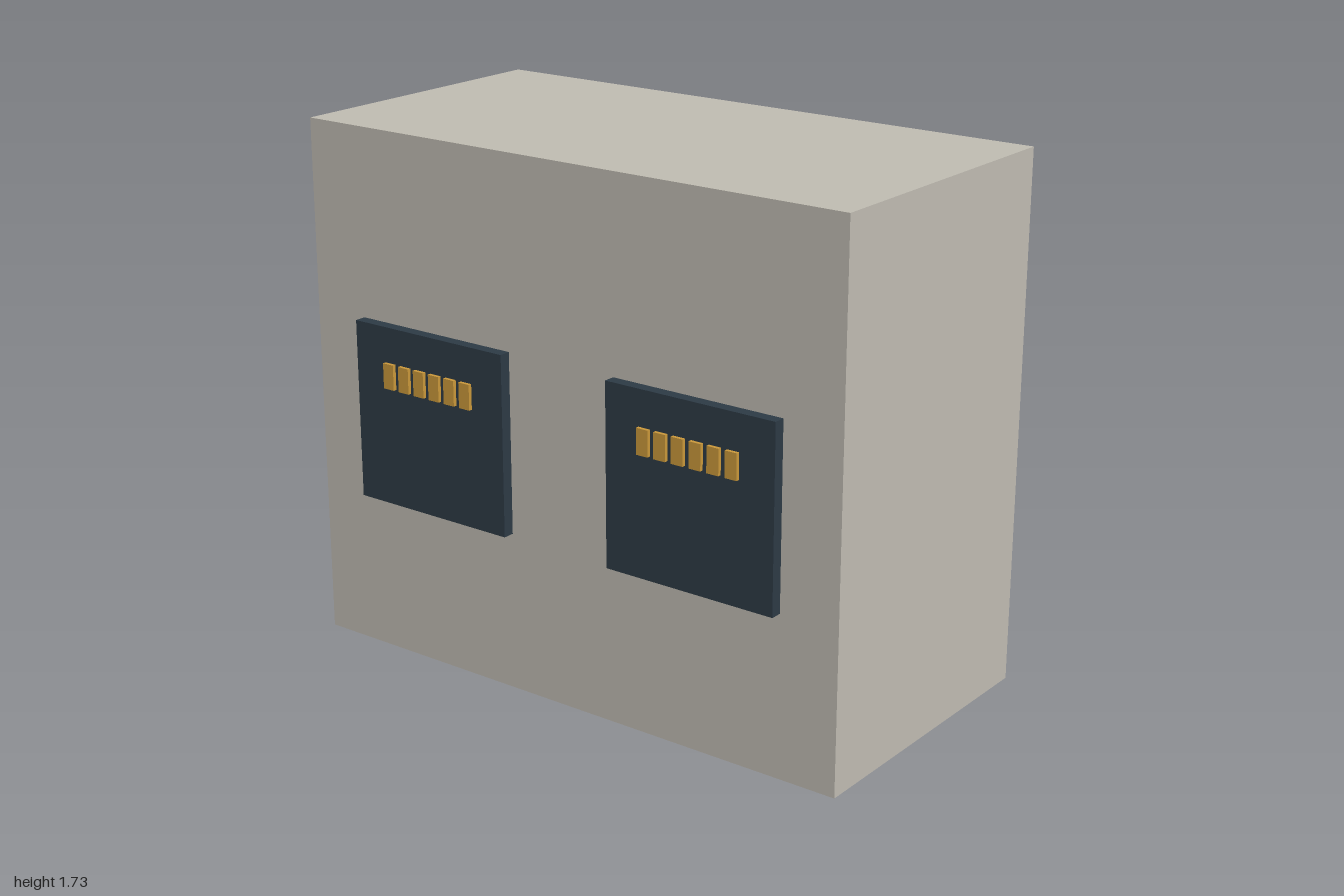
import * as THREE from 'three';

const material = (name, color) => {
  const m = new THREE.MeshStandardMaterial({ color });
  m.name = name;
  return m;
};

// Box given by its centre x, its bottom and its back face
function block(name, [w, h, d], [x, bottom, back], mat) {
  const mesh = new THREE.Mesh(new THREE.BoxGeometry(w, h, d), mat);
  mesh.name = name;
  mesh.position.set(x, bottom + h / 2, back + d / 2);
  return mesh;
}

export function createModel() {
  const stone = material('warm grey', 0xbfbbb1);
  const slate = material('dark slate', 0x2d3a45);
  const brass = material('brass', 0xc9973a);

  const model = new THREE.Group();
  model.name = 'cabinet';

  // Main housing
  model.add(block('housing', [2, 1.73, 1], [0, 0, -0.525], stone));

  // Two raised panels, each with a row of six contacts
  for (const [side, x] of [['left', 0.5], ['right', -0.5]]) {
    const panel = new THREE.Group();
    panel.name = `${side}Panel`;
    panel.position.x = x;
    panel.add(block('plate', [0.6, 0.59, 0.038], [0, 0.525, 0.475], slate));
    for (let i = 0; i < 6; i++) {
      const cx = (i - 2.5) * 0.063;
      panel.add(block(`contact${i + 1}`, [0.042, 0.083, 0.012], [cx, 0.916, 0.513], brass));
    }
    model.add(panel);
  }
  return model;
}
